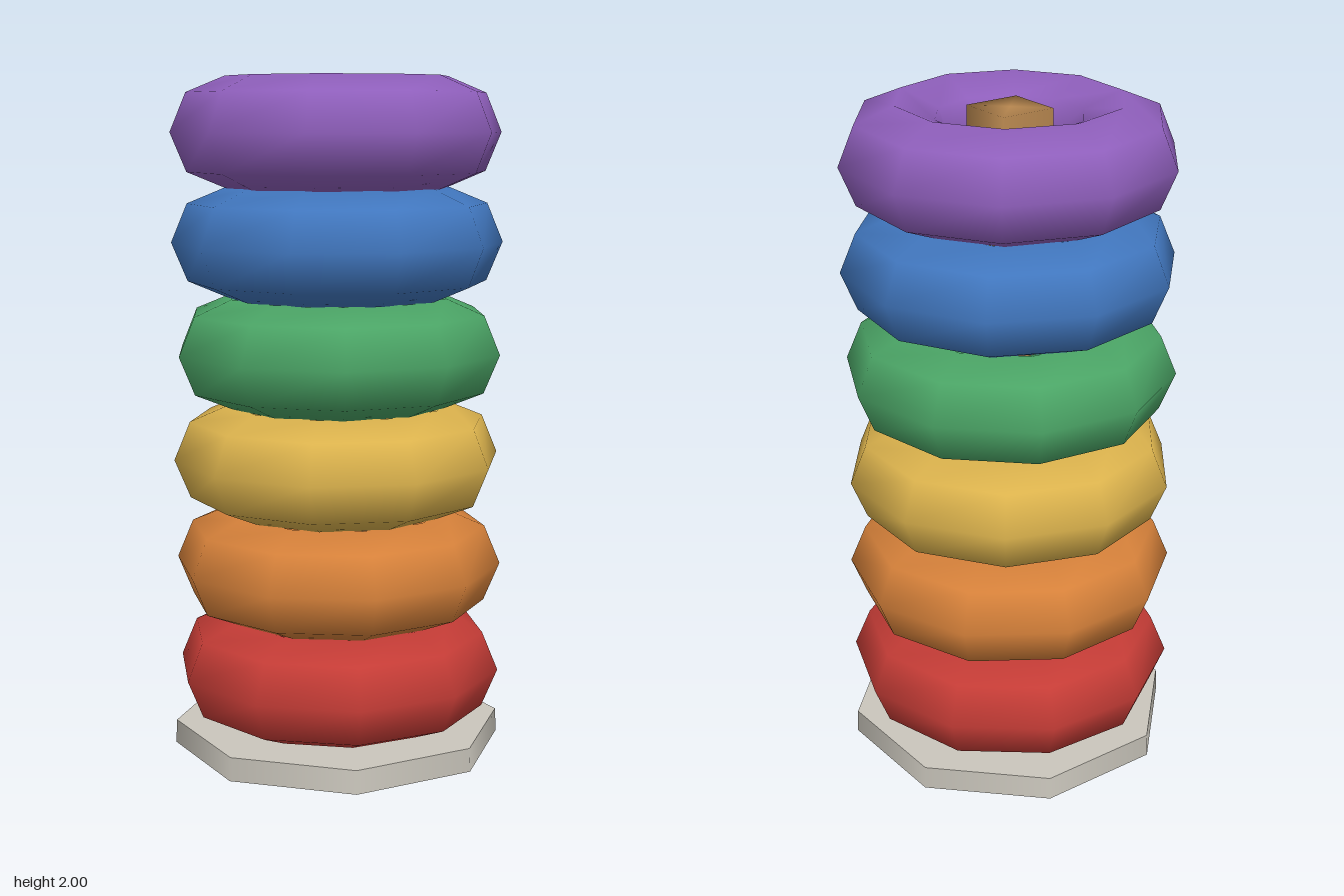
import * as THREE from 'three';
import { mergeVertices } from 'three/addons/utils/BufferGeometryUtils.js';

const rad = THREE.MathUtils.degToRad;

function material(name, color) {
  const m = new THREE.MeshStandardMaterial({ color });
  m.name = name;
  return m;
}

// Square peg twisted along its length, with normals shared over its corners
function twistedPeg(radius, height, twist) {
  const geometry = new THREE.CylinderGeometry(radius, radius, height, 4, 4);
  const p = geometry.attributes.position;
  const v = new THREE.Vector3();
  const up = new THREE.Vector3(0, 1, 0);
  for (let i = 0; i < p.count; i++) {
    v.fromBufferAttribute(p, i);
    v.applyAxisAngle(up, rad(45) - twist * (v.y / height));
    p.setXYZ(i, v.x, v.y, v.z);
  }
  geometry.deleteAttribute('normal');
  geometry.deleteAttribute('uv');
  const smooth = mergeVertices(geometry, 1e-4);
  smooth.computeVertexNormals();
  return smooth;
}

export function createModel() {
  const group = new THREE.Group();
  group.name = 'stackingRings';

  const add = (name, geometry, mat, y) => {
    const mesh = new THREE.Mesh(geometry, mat);
    mesh.name = name;
    mesh.position.y = y;
    group.add(mesh);
    return mesh;
  };

  // Eight-sided base plate
  const base = new THREE.CylinderGeometry(0.492, 0.495, 0.07, 8);
  base.rotateY(rad(12.5));
  add('base', base, material('warmGrey', 0xcac6bc), 0.035);

  // Central peg
  add('peg', twistedPeg(0.122, 1.97, rad(20)), material('wood', 0xb98850), 0.99);

  // Six equal rings, each turned a little differently: name, colour, turn
  const rings = [
    ['red', 0xc53c36, 31],
    ['orange', 0xd6813a, 26],
    ['yellow', 0xdcb34d, 12],
    ['green', 0x4ba566, 0],
    ['blue', 0x4177bf, 18],
    ['purple', 0x8f5fbc, 13],
  ];
  rings.forEach(([name, color, turn], i) => {
    const torus = new THREE.TorusGeometry(0.328, 0.161, 8, 10);
    torus.rotateX(-Math.PI / 2);
    torus.rotateY(-rad(turn));
    add(name + 'Ring', torus, material(name, color), 0.239 + 0.32 * i);
  });

  return group;
}
